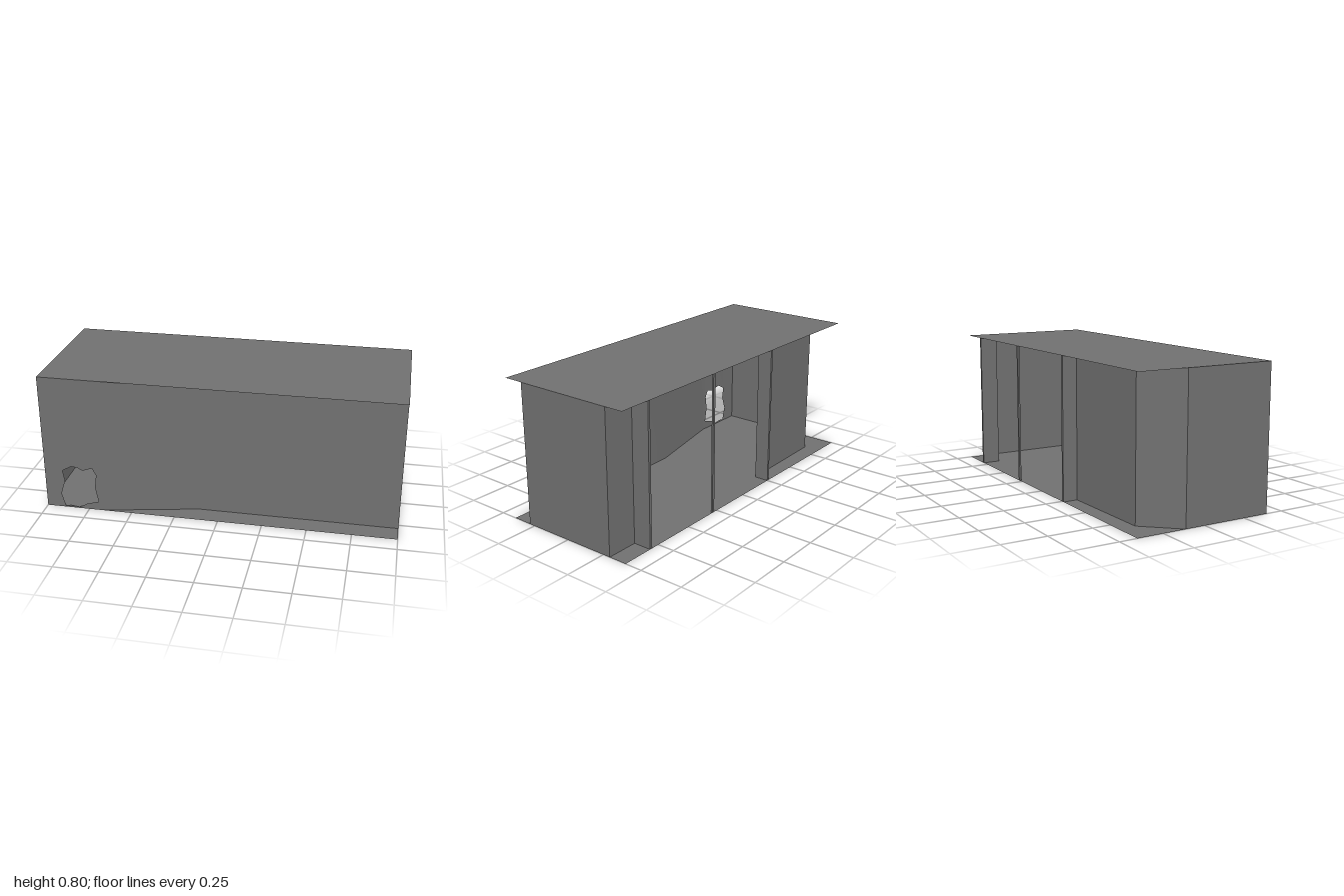
import * as THREE from 'three';
import { mergeGeometries, toCreasedNormals } from 'three/addons/utils/BufferGeometryUtils.js';

const H = 0.8; // wall height
const material = new THREE.MeshStandardMaterial({ color: 0x707070, side: THREE.DoubleSide });

function add(group, name, geometry, x = 0, y = 0, z = 0) {
  const mesh = new THREE.Mesh(geometry, material);
  mesh.name = name;
  mesh.position.set(x, y, z);
  group.add(mesh);
}

// Thin upright wall along a floor path of [x, z]; outside is on the right of travel
function wall(path) {
  const positions = [];
  const index = [];
  path.forEach(([x, z], i) => {
    positions.push(x, 0, z, x, H, z);
    if (i > 0) {
      const a = 2 * (i - 1);
      index.push(a, a + 2, a + 3, a, a + 3, a + 1);
    }
  });
  const geometry = new THREE.BufferGeometry();
  geometry.setAttribute('position', new THREE.Float32BufferAttribute(positions, 3));
  geometry.setIndex(index);
  return geometry;
}

// Flat panel with a ragged hole near the floor
function brokenPanel() {
  const panel = new THREE.Shape();
  panel.moveTo(-1, 0).lineTo(-0.67, 0).lineTo(-0.67, H).lineTo(-1, H).closePath();
  const holeOutline = [
    [-0.895, 0.235], [-0.842, 0.265], [-0.804, 0.261], [-0.777, 0.245], [-0.719, 0.265],
    [-0.697, 0.223], [-0.708, 0.143], [-0.692, 0.053], [-0.762, 0.032], [-0.809, 0.006],
    [-0.858, 0.012], [-0.89, 0.006], [-0.911, 0.086], [-0.884, 0.171],
  ];
  panel.holes.push(new THREE.Path(holeOutline.map(([x, y]) => new THREE.Vector2(x, y))));
  const geometry = new THREE.ShapeGeometry(panel).translate(0, 0, 0.4);
  geometry.deleteAttribute('uv');
  geometry.deleteAttribute('normal');
  return geometry;
}

export function createModel() {
  const model = new THREE.Group();
  model.name = 'room';

  // Floor and ceiling sheets
  const slab = new THREE.PlaneGeometry(2, 0.8).rotateX(-Math.PI / 2);
  add(model, 'floor', slab);
  add(model, 'ceiling', slab, 0, H, 0);

  // Front wall: broken panel flowing softly into the set-back stretch
  const front = mergeGeometries([
    brokenPanel(),
    wall([[-0.67, 0.4], [-0.13, 0.285], [0.3, 0.285], [1, 0.285]]),
  ]);
  add(model, 'frontWall', toCreasedNormals(front, 0.4));

  // Side walls turn the corners and leave a wide opening at the back
  const sides = {
    leftWall: [[1, 0.285], [1, -0.293], [0.807, -0.295]],
    rightWall: [[-0.257, -0.315], [-0.83, -0.302], [-1, -0.115], [-1, 0.4]],
  };
  for (const [name, path] of Object.entries(sides)) {
    add(model, name, toCreasedNormals(wall(path), 0.4));
  }

  // Window jambs and the slim mullion between them
  for (const [x, inner] of [[0.807, -0.295], [-0.257, -0.315]]) {
    const depth = inner + 0.4;
    add(model, 'windowJamb', new THREE.BoxGeometry(0.015, H, depth), x, H / 2, inner - depth / 2);
  }
  add(model, 'windowMullion', new THREE.BoxGeometry(0.016, H, 0.01), 0.282, H / 2, -0.395);

  return model;
}
